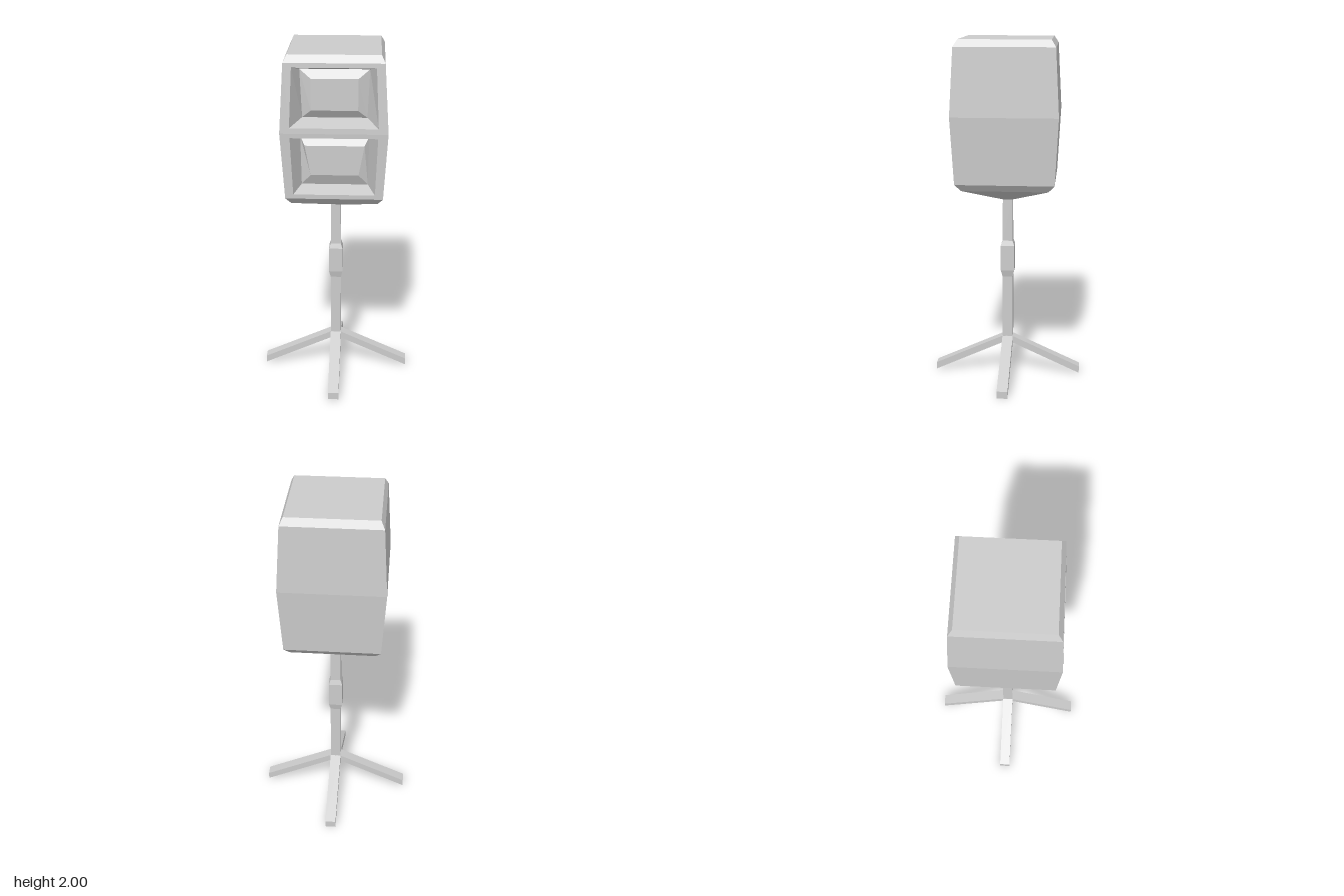
import * as THREE from 'three';

const material = new THREE.MeshStandardMaterial({ color: 0xcccccc, flatShading: true });

// Mesh from a list of quads, each with four corners counter-clockwise
function quadMesh(name, quads) {
  const points = quads.flatMap(([a, b, c, d]) => [a, b, c, a, c, d]);
  const geometry = new THREE.BufferGeometry();
  geometry.setAttribute('position', new THREE.Float32BufferAttribute(points.flat(), 3));
  geometry.computeVertexNormals();
  const mesh = new THREE.Mesh(geometry, material);
  mesh.name = name;
  return mesh;
}

// Bands of quads joining successive four-cornered rings
function bands(rings, skip = () => false) {
  const quads = [];
  for (let r = 0; r < rings.length - 1; r++) {
    for (let i = 0; i < 4; i++) {
      const j = (i + 1) % 4;
      if (!skip(r, i)) quads.push([rings[r][i], rings[r][j], rings[r + 1][j], rings[r + 1][i]]);
    }
  }
  return quads;
}

// Horizontal ring: height, half width, half depth
const level = ([y, w, d]) => [[w, y, d], [w, y, -d], [-w, y, -d], [-w, y, d]];

// Upright front ring: bottom and top edges, each as half width, height, depth
const upright = ([wb, yb, zb], [wt, yt, zt]) =>
  [[-wb, yb, zb], [wb, yb, zb], [wt, yt, zt], [-wt, yt, zt]];

// Depth of the bulging cabinet front at height y
const frontZ = (y) => 0.3 - 0.02 * Math.abs(y - 1.58) / 0.38;

// Front panel, splayed recess walls, then a raised block with a flat face
function recess(name, outer, opening, floor, face) {
  const rings = [outer, opening].map((edges) =>
    upright(...edges.map(([w, y]) => [w, y, frontZ(y)])));
  rings.push(upright(...floor.map(([w, y]) => [w, y, 0.175])));
  rings.push(upright(...face.map(([w, y]) => [w, y, 0.205])));
  return quadMesh(name, [...bands(rings), rings[3]]);
}

export function createModel() {
  const model = new THREE.Group();
  model.name = 'signalOnStand';

  // Cabinet shell, with the two front sections left open for the recesses
  const shell = [
    [1.07, 0.03, 0.03], [1.16, 0.24, 0.245], [1.2, 0.27, 0.28],
    [1.58, 0.293, 0.3], [1.96, 0.27, 0.28], [2.0, 0.25, 0.255],
  ].map(level);
  const shellQuads = bands(shell, (r, i) => i === 3 && (r === 2 || r === 3));
  shellQuads.push([...shell[5]], [...shell[0]].reverse());
  model.add(quadMesh('cabinet', shellQuads));

  model.add(recess('upperRecess',
    [[0.293, 1.58], [0.27, 1.96]],
    [[0.24, 1.61], [0.225, 1.935]],
    [[0.178, 1.637], [0.19, 1.905]],
    [[0.128, 1.683], [0.128, 1.858]]));
  model.add(recess('lowerRecess',
    [[0.27, 1.2], [0.293, 1.58]],
    [[0.225, 1.225], [0.238, 1.555]],
    [[0.185, 1.25], [0.19, 1.53]],
    [[0.133, 1.313], [0.165, 1.483]]));

  // Square pole with a thicker collar
  const pole = [
    [0.19, 0.03], [0.6, 0.03], [0.64, 0.04], [0.79, 0.04], [0.82, 0.03], [1.09, 0.028],
  ].map(([y, h]) => level([y, h, h]));
  model.add(quadMesh('pole', [...bands(pole), [...pole[5]], [...pole[0]].reverse()]));

  // Four sloping legs
  const profile = new THREE.Shape([[0, 0.205], [0.433, 0.008], [0.433, 0.05], [0.03, 0.233], [0, 0.233]]
    .map(([x, y]) => new THREE.Vector2(x, y)));
  const legGeometry = new THREE.ExtrudeGeometry(profile, { depth: 0.062, bevelEnabled: false });
  legGeometry.translate(0, 0, -0.031);
  for (let i = 0; i < 4; i++) {
    const leg = new THREE.Mesh(legGeometry, material);
    leg.name = `leg${i + 1}`;
    leg.rotation.y = i * Math.PI / 2;
    model.add(leg);
  }

  // Rest the lowest leg tips on the ground
  for (const part of model.children) {
    if (part.name.startsWith('leg')) part.position.y = -0.008;
  }
  return model;
}
